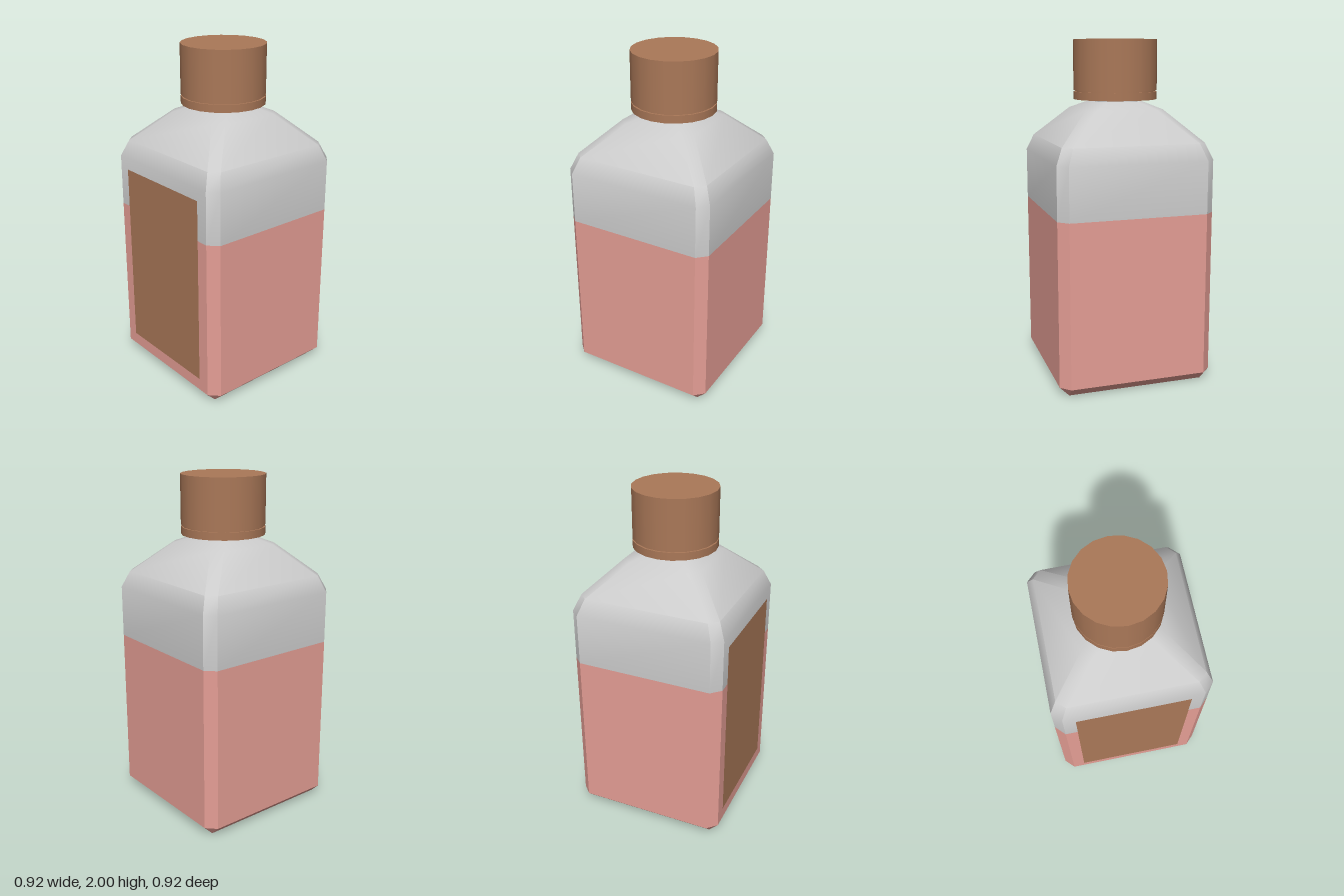
import * as THREE from 'three';
import { toCreasedNormals } from 'three/addons/utils/BufferGeometryUtils.js';

const paint = (color) => new THREE.MeshStandardMaterial({ color });

// Square ring with cut corners: h = half width, k = where the corner cut starts
function ring(y, h, k) {
  const points = [];
  for (let q = 0, a = [h, k], b = [k, h]; q < 4; q++) {
    for (const [x, z] of [a, b]) points.push(new THREE.Vector3(x, y, z));
    a = [-a[1], a[0]];
    b = [-b[1], b[0]];
  }
  return points;
}

// Skin a stack of [y, h, k] sections, optionally closed underneath
function loft(sections, closeBottom) {
  const rings = sections.map((s) => ring(...s));
  const pos = [];
  const tri = (a, b, c) => {
    if (new THREE.Triangle(a, b, c).getArea() < 1e-7) return;
    for (const p of [a, b, c]) pos.push(p.x, p.y, p.z);
  };
  for (let i = 0; i < rings.length - 1; i++) {
    for (let j = 0; j < 8; j++) {
      const n = (j + 1) % 8;
      const a = rings[i][j], b = rings[i][n], c = rings[i + 1][j], d = rings[i + 1][n];
      tri(a, c, b);
      tri(b, c, d);
    }
  }
  if (closeBottom) for (let j = 1; j < 7; j++) tri(rings[0][0], rings[0][j], rings[0][j + 1]);
  const geometry = new THREE.BufferGeometry();
  geometry.setAttribute('position', new THREE.Float32BufferAttribute(pos, 3));
  return toCreasedNormals(geometry, 0.6);
}

export function createModel() {
  const model = new THREE.Group();
  model.name = 'bottle';
  const grey = paint(0xcccccc);
  const pink = paint(0xe59e95);
  const brown = paint(0xaa7858);

  const add = (name, geometry, material, y = 0) => {
    const mesh = new THREE.Mesh(geometry, material);
    mesh.name = name;
    mesh.position.y = y;
    model.add(mesh);
    return mesh;
  };
  const cylinder = (name, radius, y0, y1, material) =>
    add(name, new THREE.CylinderGeometry(radius, radius, y1 - y0, 20), material, (y0 + y1) / 2);

  // Filled lower body with bevelled base
  add('liquidBody', loft([
    [0, 0.405, 0.405],
    [0.055, 0.46, 0.405],
    [1.02, 0.46, 0.405],
  ], true), pink);

  // Clear upper body and sloping shoulders
  add('shoulders', loft([
    [1.02, 0.46, 0.405],
    [1.325, 0.46, 0.405],
    [1.42, 0.42, 0.37],
    [1.6, 0.235, 0.18],
    [1.645, 0.135, 0.09],
  ], false), grey);

  // Neck, tamper ring and cap
  cylinder('neck', 0.135, 1.6, 1.68, grey);
  cylinder('tamperRing', 0.247, 1.655, 1.7, brown);
  cylinder('capGap', 0.236, 1.69, 1.72, brown);
  cylinder('cap', 0.247, 1.708, 2, brown);

  // Front label
  const label = add('label', new THREE.PlaneGeometry(0.666, 1.125), brown, 0.6925);
  label.position.z = 0.462;

  return model;
}
